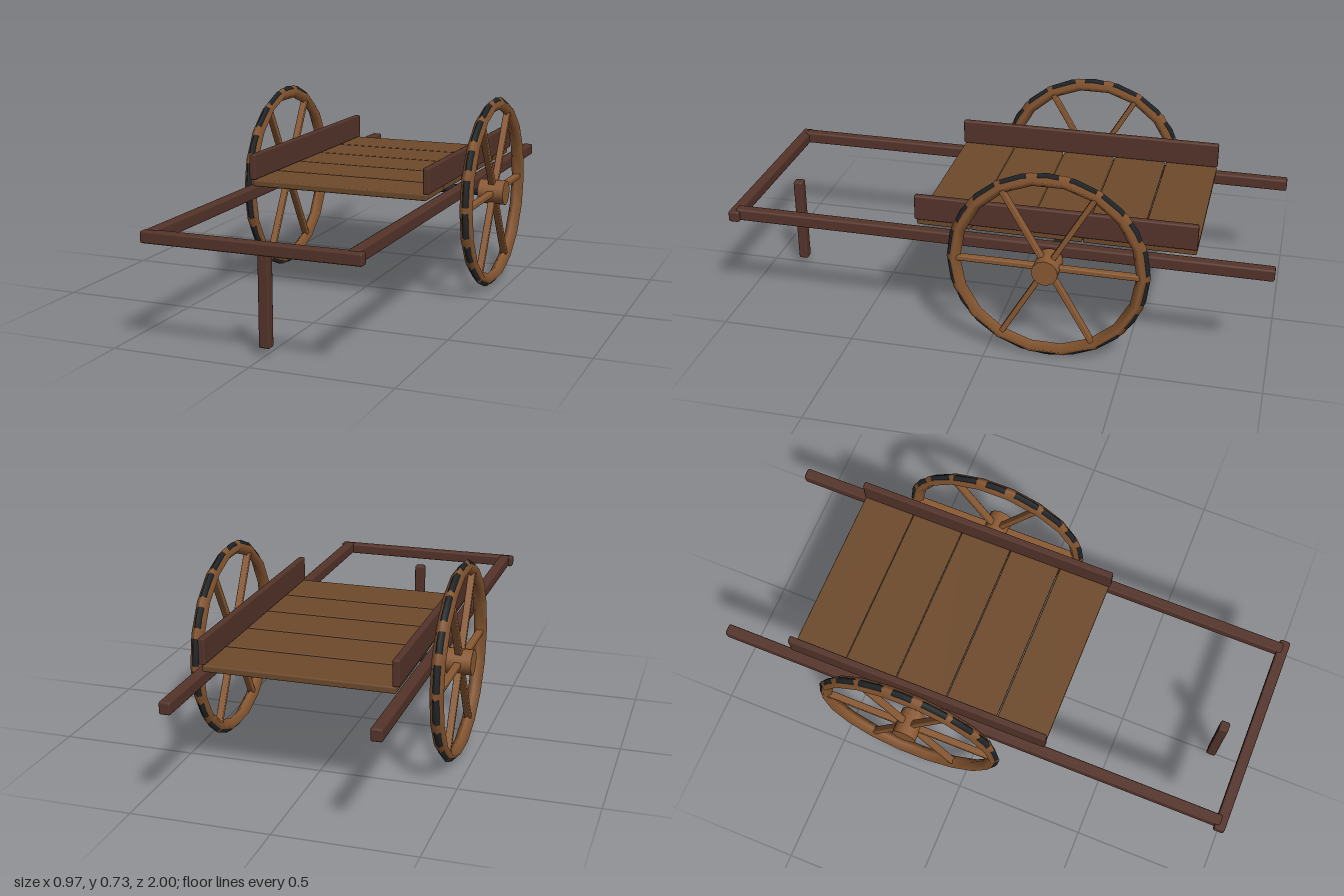
import * as THREE from 'three';
import { RoundedBoxGeometry } from 'three/addons/geometries/RoundedBoxGeometry.js';

const darkWood = new THREE.MeshStandardMaterial({ color: 0x55342a });
const deckWood = new THREE.MeshStandardMaterial({ color: 0x6e4a2b });
const wheelWood = new THREE.MeshStandardMaterial({ color: 0x8b5a33 });
const iron = new THREE.MeshStandardMaterial({ color: 0x23282c });

const AXLE_Y = 0.367;
const AXLE_Z = -0.22;

function part(name, geometry, material, x = 0, y = 0, z = 0) {
  const mesh = new THREE.Mesh(geometry, material);
  mesh.name = name;
  mesh.position.set(x, y, z);
  return mesh;
}

// Timber with softened edges, given by its min and max corners
function beam(name, material, [x0, y0, z0], [x1, y1, z1], bevel = 0.007) {
  const geometry = new RoundedBoxGeometry(x1 - x0, y1 - y0, z1 - z0, 1, bevel);
  return part(name, geometry, material, (x0 + x1) / 2, (y0 + y1) / 2, (z0 + z1) / 2);
}

// Wheel built in the XY plane, then turned so its axis lies along x
function createWheel(name) {
  const wheel = new THREE.Group();
  wheel.name = name;
  wheel.add(part('rim', new THREE.TorusGeometry(0.34, 0.025, 4, 18), wheelWood));
  // Iron tyre, showing only where it stands proud of the rim facets
  wheel.add(part('tyre', new THREE.TorusGeometry(0.3525, 0.012, 4, 24), iron));

  const hub = part('hub', new THREE.CylinderGeometry(0.0475, 0.0475, 0.1, 12), wheelWood);
  hub.rotation.x = Math.PI / 2;
  wheel.add(hub);

  for (let i = 0; i < 6; i++) {
    const angle = (i * Math.PI) / 3;
    const spoke = part('spoke', new RoundedBoxGeometry(0.3, 0.02, 0.026, 1, 0.004), wheelWood,
      Math.cos(angle) * 0.18, Math.sin(angle) * 0.18, 0);
    spoke.rotation.z = angle;
    wheel.add(spoke);
  }
  wheel.rotation.y = Math.PI / 2;
  return wheel;
}

export function createModel() {
  const cart = new THREE.Group();
  cart.name = 'handcart';

  // Deck planks
  const pitch = 0.203;
  for (let i = 0; i < 5; i++) {
    const z = -0.73 + i * pitch;
    cart.add(beam('deckPlank', deckWood, [-0.34, 0.425, z + 0.002], [0.34, 0.45, z + pitch - 0.002], 0.006));
  }

  // Shafts, side boards and wheels on both sides
  for (const side of [-1, 1]) {
    const label = side > 0 ? 'left' : 'right';
    const shaft = beam(label + 'Shaft', darkWood, [-0.0205, 0.375, -1], [0.0205, 0.42, 0.975]);
    shaft.position.x = side * 0.355;
    const board = beam(label + 'SideBoard', darkWood, [-0.0125, 0.45, -0.73], [0.0125, 0.545, 0.288], 0.006);
    board.position.x = side * 0.34;
    const wheel = createWheel(label + 'Wheel');
    wheel.position.set(side * 0.435, AXLE_Y, AXLE_Z);
    cart.add(shaft, board, wheel);
  }

  // Handle bar and its prop leg
  cart.add(beam('handleBar', darkWood, [-0.39, 0.373, 0.957], [0.39, 0.415, 0.998]));
  cart.add(beam('propLeg', darkWood, [-0.02, 0.03, 0.855], [0.02, 0.37, 0.892]));

  // Axle between the hubs
  const axle = part('axle', new THREE.CylinderGeometry(0.0175, 0.0175, 0.86, 10), iron, 0, AXLE_Y, AXLE_Z);
  axle.rotation.z = Math.PI / 2;
  cart.add(axle);

  return cart;
}
